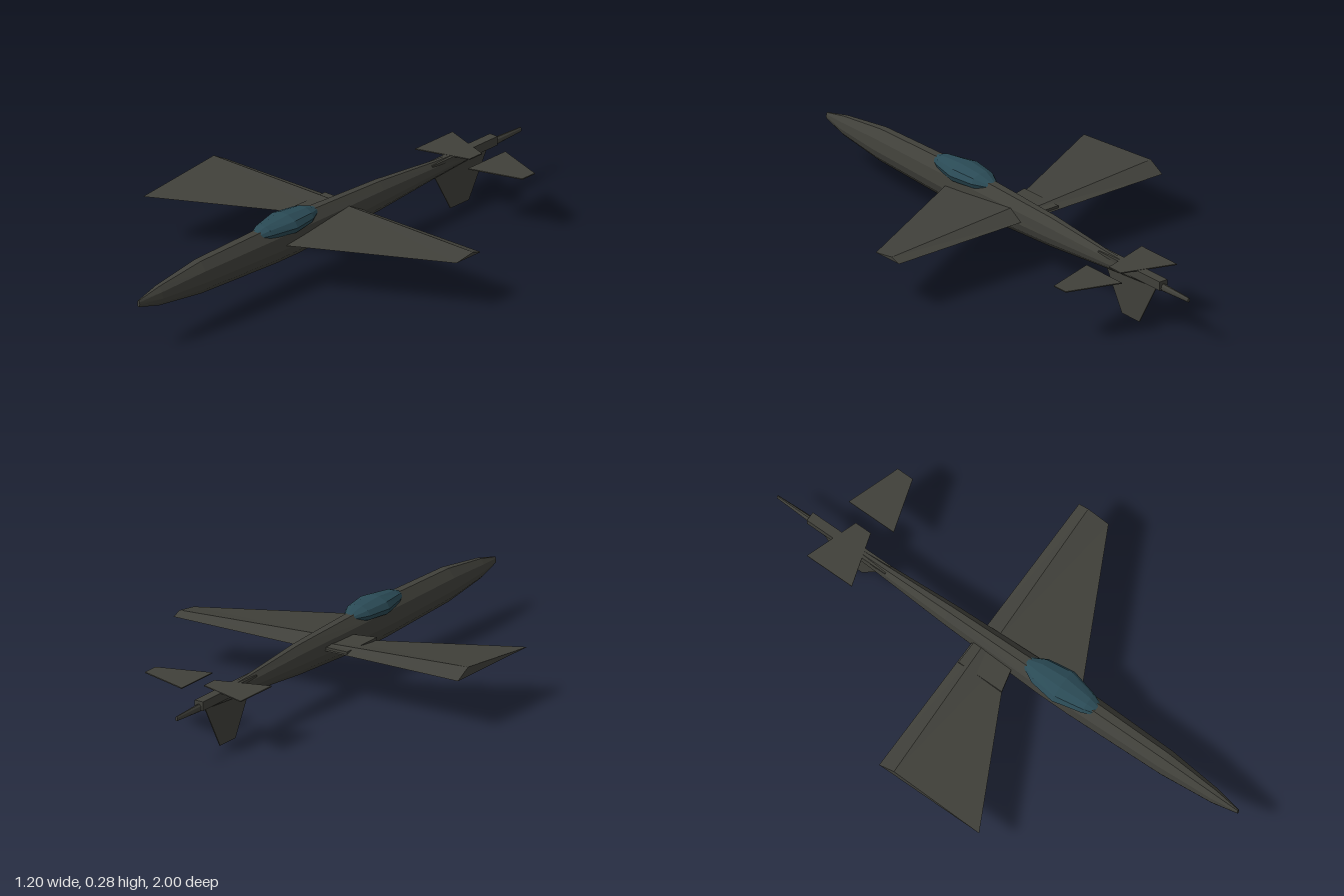
import * as THREE from 'three';

const BODY = new THREE.MeshStandardMaterial({ color: 0x40403a, flatShading: true });
const GLASS = new THREE.MeshStandardMaterial({ color: 0x2a4a55, flatShading: true });

// Skins a closed solid over rings of points; each ring runs counter-clockwise seen from the first end.
function loft(name, rings, material = BODY) {
  const n = rings[0].length;
  const pos = rings.flat(2);
  const index = [];
  for (let s = 0; s < rings.length - 1; s++) {
    for (let i = 0; i < n; i++) {
      const a = s * n + i, b = s * n + (i + 1) % n;
      index.push(a, a + n, b, b, a + n, b + n);
    }
  }
  const last = (rings.length - 1) * n;
  for (let i = 1; i < n - 1; i++) {
    index.push(0, i, i + 1, last, last + i + 1, last + i);
  }
  const indexed = new THREE.BufferGeometry();
  indexed.setAttribute('position', new THREE.Float32BufferAttribute(pos, 3));
  indexed.setIndex(index);
  const geometry = indexed.toNonIndexed();
  geometry.computeVertexNormals();
  const mesh = new THREE.Mesh(geometry, material);
  mesh.name = name;
  return mesh;
}

// Places a unit half-outline, bottom to top, on both sides at one station along z.
function station(half, z, w, bottom, top) {
  const mid = (top + bottom) / 2, h = (top - bottom) / 2;
  const right = half.map(([x, y]) => [x * w, mid + y * h, z]);
  const left = half.map(([x, y]) => [-x * w, mid + y * h, z]).reverse();
  return [...right, ...left];
}

// Wedge-shaped wing: flat underside with its crest near the trailing edge, wide end towards -x.
function wing(name, offset) {
  const tip = [[0.6, 0.184, 0], [0.6, 0.184, -0.128], [0.6, 0.197, -0.088]];
  const root = [[0, 0.18, 0.312], [0, 0.18, -0.122], [0, 0.214, -0.058]];
  const mesh = loft(name, [tip, root]);
  mesh.position.x = offset;
  return mesh;
}

// Thin plate at constant height, from its +x edge to its -x edge.
function plate(name, edges, y, t) {
  return loft(name, edges.map(([x, front, back]) => [
    [x, y - t, front], [x, y - t, back], [x, y + t, back], [x, y + t, front],
  ]));
}

export function createModel() {
  const model = new THREE.Group();
  model.name = 'aircraft';

  // Fuselage: z, half width, bottom, top
  const hull = [[0.3, -1], [0.82, -0.6], [1, -0.15], [0.85, 0.5], [0.3, 1]];
  const stations = [
    [1, 0.006, 0.17, 0.195], [0.9, 0.026, 0.145, 0.218], [0.69, 0.045, 0.121, 0.245],
    [0.3, 0.054, 0.106, 0.252], [0.18, 0.054, 0.106, 0.252], [-0.25, 0.039, 0.124, 0.236],
    [-0.55, 0.023, 0.147, 0.21], [-0.8, 0.013, 0.163, 0.196], [-1, 0.005, 0.171, 0.188],
  ];
  model.add(loft('fuselage', stations.map((s) => station(hull, ...s))));

  // Faceted canopy
  const bubble = [[0.4, -1], [0.85, -0.6], [1, 0], [0.8, 0.6], [0.3, 1]];
  const canopy = [
    [0.408, 0.013, 0.224, 0.243], [0.35, 0.041, 0.21, 0.263], [0.24, 0.068, 0.202, 0.275],
    [0.14, 0.053, 0.209, 0.267], [0.08, 0.02, 0.224, 0.247],
  ];
  model.add(loft('canopy', canopy.map((s) => station(bubble, ...s)), GLASS));

  // Wings, both tapering towards +x
  model.add(wing('leftWing', 0), wing('rightWing', -0.6));
  model.add(plate('wingRootFillet', [[0, 0.035, -0.12], [-0.13, 0.068, -0.12]], 0.19, 0.005));

  // Tail boom housing
  const boom = new THREE.Mesh(new THREE.BoxGeometry(0.036, 0.034, 0.34), BODY);
  boom.name = 'tailBoom';
  boom.position.set(0, 0.188, -0.69);
  model.add(boom);

  // Tailplanes, both tapering towards +x
  for (const [name, x] of [['rightTailplane', -0.125], ['leftTailplane', 0.125]]) {
    model.add(plate(name, [[x + 0.2, -0.65, -0.715], [x, -0.587, -0.782]], 0.204, 0.002));
  }

  // Ventral fin
  const finEdges = [[0.18, -0.53, -0.83], [0, -0.632, -0.728]];
  const t = 0.002;
  model.add(loft('ventralFin', finEdges.map(([y, front, back]) => [
    [t, y, front], [t, y, back], [-t, y, back], [-t, y, front],
  ])));

  return model;
}
